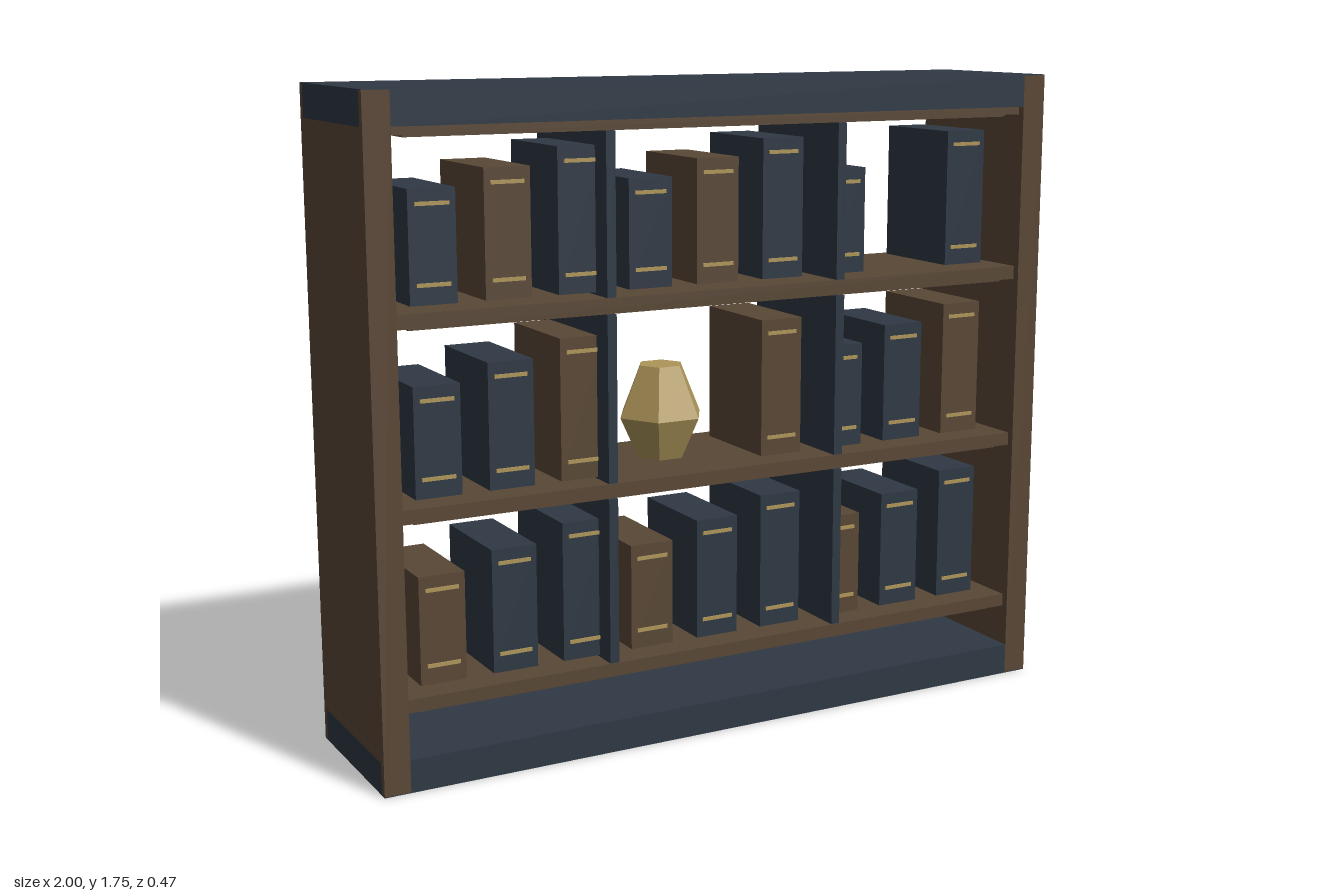
import * as THREE from 'three';

const navy = new THREE.MeshStandardMaterial({ name: 'navy', color: 0x2e3844 });
const brown = new THREE.MeshStandardMaterial({ name: 'walnut', color: 0x594735 });
const gold = new THREE.MeshStandardMaterial({ name: 'gold', color: 0xae9559 });
gold.flatShading = true;

// Box given by its min and max along each axis
function box(parent, name, mat, [x0, x1], [y0, y1], [z0, z1]) {
  const mesh = new THREE.Mesh(new THREE.BoxGeometry(x1 - x0, y1 - y0, z1 - z0), mat);
  mesh.position.set((x0 + x1) / 2, (y0 + y1) / 2, (z0 + z1) / 2);
  mesh.name = name;
  parent.add(mesh);
  return mesh;
}

// Book standing on y, with two gold bands on its spine
function book(x, y, h, mat) {
  const g = new THREE.Group();
  g.name = 'book';
  g.position.set(x, y, 0);
  box(g, 'bookBody', mat, [-0.0625, 0.0625], [0, h], [-0.145, 0.145]);
  for (const by of [0.05, h - 0.037]) {
    box(g, 'spineBand', gold, [-0.045, 0.045], [by - 0.005, by + 0.005], [0.144, 0.149]);
  }
  return g;
}

export function createModel() {
  const model = new THREE.Group();
  model.name = 'bookcase';
  const H = 1.75, D = 0.233, IN = 0.213, W = 0.93, cap = 0.002;

  // Plinth and crown: board between the posts, ends flush with the sides
  for (const [name, y0, y1, capY] of [['plinth', 0, 0.087, 0], ['crown', 1.662, H, H - cap]]) {
    const g = new THREE.Group();
    g.name = name;
    model.add(g);
    box(g, name + 'Board', navy, [-W, W], [y0, y1], [-D, D]);
    for (const s of [-1, 1]) {
      const xs = s > 0 ? [W, 1] : [-1, -W];
      box(g, name + 'End', navy, xs, [y0, y1], [-IN, IN]);
      box(g, name + 'Cover', navy, xs, [capY, capY + cap], [-D, D]);
    }
  }

  // Side panels and corner posts
  for (const s of [-1, 1]) {
    const xs = s > 0 ? [W, 1] : [-1, -W];
    box(model, 'sidePanel', brown, xs, [0.087, 1.662], [-IN, IN]);
    box(model, 'frontPost', brown, xs, [cap, H - cap], [IN, D]);
    box(model, 'backPost', brown, xs, [cap, H - cap], [-D, -IN]);
  }

  // Shelves, each with a shallow panel underneath
  for (const [y0, y1] of [[0.203, 0.238], [0.69, 0.726], [1.175, 1.212], [1.64, 1.662]]) {
    box(model, 'shelf', brown, [-W, W], [y0, y1], [-IN, IN]);
    box(model, 'shelfUnderside', brown, [-0.89, 0.89], [y0 - 0.006, y0], [-0.2, 0.2]);
  }

  // Dividers between the shelves
  for (const x of [-0.345, 0.345]) {
    for (const ys of [[0.238, 0.684], [0.726, 1.169], [1.212, 1.634]]) {
      box(model, 'divider', navy, [x - 0.013, x + 0.013], ys, [-0.21, 0.21]);
    }
  }

  // Books: n = navy, b = walnut, _ = empty place
  const rows = [[0.243, 'bnnbnnbnn'], [0.731, 'nnb__bnnb'], [1.219, 'nbnnbnn_n']];
  const heights = [0.287, 0.331, 0.376];
  for (const [y, row] of rows) {
    [...row].forEach((c, i) => {
      if (c !== '_') model.add(book(-0.8 + i * 0.2, y, heights[i % 3], c === 'n' ? navy : brown));
    });
  }

  // Faceted ornament on the middle shelf
  const profile = [[0, 0], [0.068, 0], [0.122, 0.115], [0.062, 0.255], [0, 0.255]]
    .map(([r, y]) => new THREE.Vector2(r, y));
  const ornament = new THREE.Mesh(new THREE.LatheGeometry(profile, 6, Math.PI / 2), gold);
  ornament.name = 'ornament';
  ornament.position.set(-0.097, 0.731, 0);
  model.add(ornament);

  return model;
}
